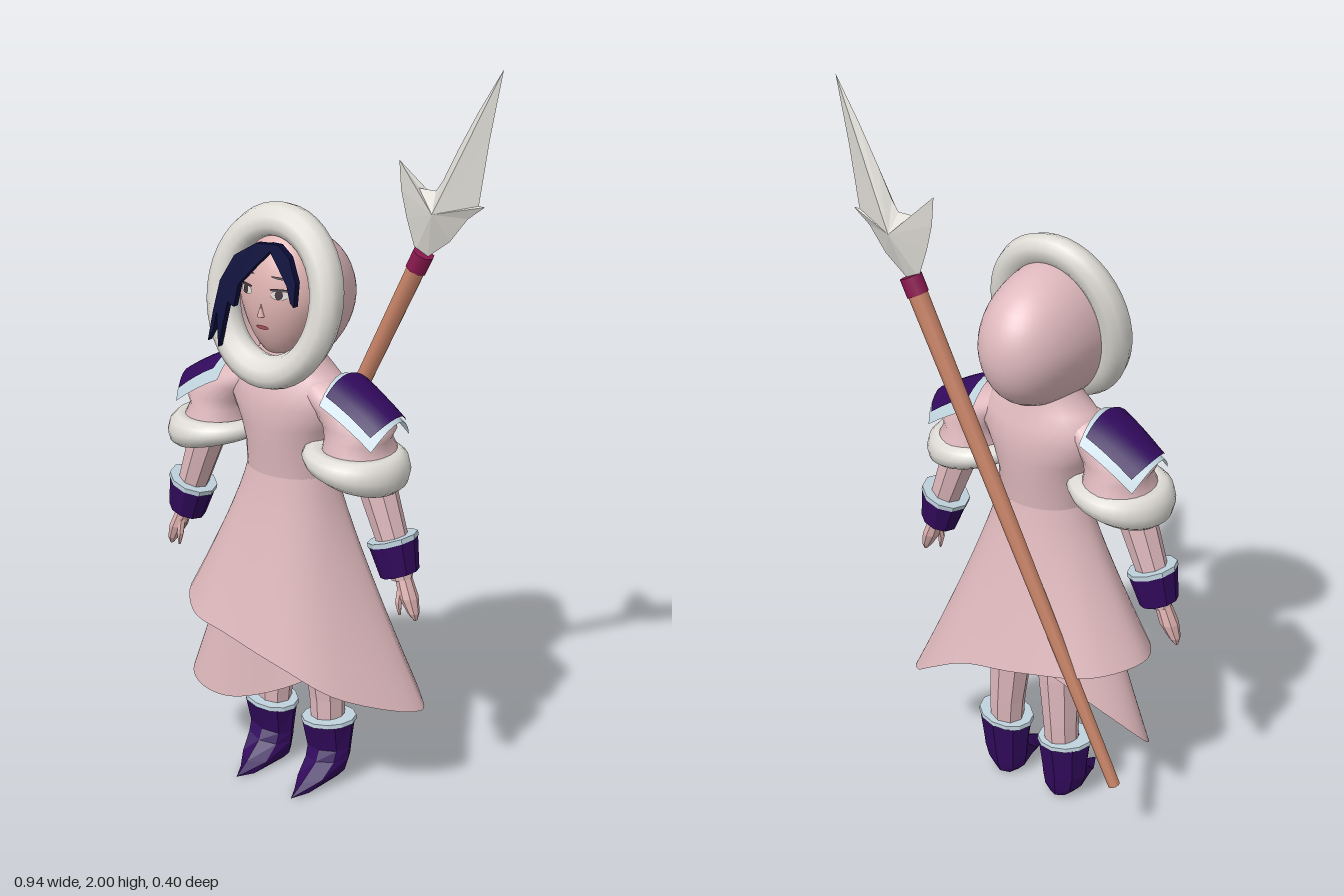
import * as THREE from 'three';

const V = (x, y, z) => new THREE.Vector3(x, y, z);
const mat = (name, color) => {
  const m = new THREE.MeshStandardMaterial({ color, side: THREE.DoubleSide });
  m.name = name;
  return m;
};

// Horizontal oval of n points; front sets a different depth towards +z, tilt slopes it along x.
function oval(cx, y, cz, rx, rz, n = 24, front = rz, tilt = 0) {
  return Array.from({ length: n }, (_, j) => {
    const a = (j / n) * Math.PI * 2, c = Math.cos(a), s = Math.sin(a);
    return V(cx + rx * c, y + tilt * rx * c, cz + (s > 0 ? front : rz) * s);
  });
}

// Skin over closed rings listed from bottom to top.
function loft(rings, { flat = false, loop = false } = {}) {
  const n = rings[0].length, index = [];
  for (let i = 0; i < rings.length - (loop ? 0 : 1); i++) {
    for (let j = 0; j < n; j++) {
      const k = ((i + 1) % rings.length) * n, l = (j + 1) % n;
      index.push(i * n + j, k + j, i * n + l, i * n + l, k + j, k + l);
    }
  }
  let g = new THREE.BufferGeometry().setFromPoints(rings.flat());
  g.setIndex(index);
  if (flat) g = g.toNonIndexed();
  g.computeVertexNormals();
  return g;
}

// Oval padded hoop lying flat: half width w, half height h.
function hoop(rx, rz, w, h, n = 32) {
  const rings = [];
  for (let i = 0; i < 10; i++) {
    const b = (i / 10) * Math.PI * 2;
    rings.push(oval(0, h * Math.sin(b), 0, rx + w * Math.cos(b), rz + w * Math.cos(b), n));
  }
  return loft(rings, { loop: true });
}

function move(g, rule) {
  const p = g.attributes.position, v = V(0, 0, 0);
  for (let i = 0; i < p.count; i++) {
    rule(v.fromBufferAttribute(p, i));
    p.setXYZ(i, v.x, v.y, v.z);
  }
  g.computeVertexNormals();
  return g;
}

// Skirt from an uneven hem up to the oval waist.
function skirt(hem, rx, rz) {
  const curve = new THREE.CatmullRomCurve3(hem.map(p => V(...p)), true, 'centripetal');
  const edge = curve.getPoints(60).slice(0, 60), rings = [];
  for (let i = 0; i <= 10; i++) {
    const t = 1 - i / 10, e = Math.pow(t, 1.15);
    rings.push(edge.map(p => {
      const a = Math.atan2(p.z, p.x + 0.05);
      const wx = -0.05 + rx * Math.cos(a), wz = 0.005 + rz * Math.sin(a);
      return V(wx + (p.x - wx) * e, 0.93 + (p.y - 0.93) * t, wz + (p.z - wz) * e);
    }));
  }
  return loft(rings);
}

// Face surface, narrowing towards the chin.
const faceWidth = y => 0.122 * (y < 1.4 ? 1 - 0.28 * ((1.4 - y) / 0.17) : 1);
const faceZ = (x, y) => 0.03 + 0.1 * Math.sqrt(Math.max(0, 1 - (x / faceWidth(y)) ** 2 - ((y - 1.4) / 0.17) ** 2));
// Depth of the hood's slanted opening.
const rimZ = y => 0.076 - 0.18 * (y - 1.405);

export function createModel() {
  const root = new THREE.Group(), figure = new THREE.Group();
  root.name = 'hoodedSpearBearer';
  figure.name = 'figure';
  figure.position.x = -0.05;
  root.add(figure);
  const cloth = mat('pink cloth', 0xdfb9bd), skin = mat('skin', 0xdfb3b1), fur = mat('white fur', 0xdfdcd6),
    purple = mat('purple leather', 0x320a5d), trim = mat('pale blue trim', 0xc0d3dd), navy = mat('navy hair', 0x0b0d3c),
    wood = mat('wood', 0xc98468), wine = mat('wine binding', 0x8c1850), lip = mat('lips', 0xb5565f), dark = mat('eye dark', 0x43343c);
  const add = (name, g, m, parent = figure) => {
    const mesh = new THREE.Mesh(g, m);
    mesh.name = name;
    parent.add(mesh);
    return mesh;
  };

  // Dress
  add('outerSkirt', skirt([[0.325, 0.275, -0.08], [0.19, 0.35, 0.12], [0.05, 0.43, 0.19], [-0.12, 0.48, 0.2],
    [-0.27, 0.49, 0.16], [-0.375, 0.51, 0.02], [-0.3, 0.5, -0.12], [-0.1, 0.48, -0.195], [0.07, 0.44, -0.195],
    [0.2, 0.36, -0.17], [0.29, 0.29, -0.125]], 0.125, 0.098), cloth, root);
  add('underSkirt', skirt([[0.19, 0.48, 0], [0.13, 0.41, 0.1], [0, 0.32, 0.12], [-0.2, 0.23, 0.11], [-0.32, 0.225, 0.085],
    [-0.388, 0.24, 0.02], [-0.32, 0.35, -0.07], [-0.1, 0.49, -0.14], [0.1, 0.5, -0.11]], 0.118, 0.09), cloth, root);
  add('torso', loft([[0.925, 0.125, 0.098], [1, 0.126, 0.105], [1.06, 0.145, 0.112], [1.12, 0.18, 0.112],
    [1.165, 0.175, 0.1], [1.2, 0.145, 0.088], [1.24, 0.09, 0.08], [1.3, 0.07, 0.07]]
    .map(([y, rx, rz]) => oval(0, y, 0.007, rx, rz))), cloth);

  // Hood: open bowl whose rim reaches forward to the fur
  const hood = new THREE.SphereGeometry(1, 28, 24, Math.PI, Math.PI);
  add('hood', move(hood, v => {
    const reach = 1 + Math.min(0, v.z);
    v.x *= 0.15 * (v.y < 0 ? 1 + 0.1 * v.y : 1);
    v.y = 1.38 + v.y * 0.19;
    v.z = v.z * 0.2 + rimZ(v.y) * reach * reach;
  }), cloth);
  const hoodFur = hoop(0.163, 0.192, 0.043, 0.044, 40).rotateX(Math.PI / 2);
  add('hoodFur', move(hoodFur, v => {
    v.y += 1.405;
    v.z += rimZ(v.y);
  }), fur);

  // Face
  add('face', move(new THREE.SphereGeometry(1, 28, 20), v => {
    const y = 1.4 + v.y * 0.17;
    v.set(v.x * faceWidth(y), y, 0.03 + v.z * (v.z > 0 ? 0.1 : 0.05));
  }), skin);
  const decal = (name, x, y, w, h, m, lift, slant = 0) =>
    add(name, move(new THREE.CircleGeometry(1, 14), v => {
      const px = x + v.x * w, py = y + v.y * h + v.x * slant;
      v.set(px, py, faceZ(px, py) + lift);
    }), m);
  for (const s of [-1, 1]) {
    decal('eyeWhite', s * 0.052, 1.426, 0.023, 0.012, fur, 0.003);
    decal('iris', s * 0.052, 1.427, 0.01, 0.012, dark, 0.005);
    decal('upperLid', s * 0.052, 1.439, 0.025, 0.004, dark, 0.005);
    decal('eyebrow', s * 0.052, 1.468, 0.026, 0.003, dark, 0.004, s * -0.003);
  }
  decal('mouth', 0, 1.335, 0.02, 0.006, lip, 0.004);
  const nose = add('nose', new THREE.ConeGeometry(0.01, 0.035, 8), skin);
  nose.position.set(0, 1.382, 0.13);

  // Hair swept to both sides of a parting
  const hair = (name, points) => {
    const g = new THREE.ExtrudeGeometry(new THREE.Shape(points.map(p => new THREE.Vector2(...p))), { depth: 0.018, bevelEnabled: false });
    add(name, move(g, v => { v.z += 0.105 + (1.55 - v.y) * 0.14; }), navy, root);
  };
  hair('sideFringe', [[0, 1.555], [-0.07, 1.55], [-0.135, 1.51], [-0.175, 1.44], [-0.19, 1.36], [-0.2, 1.28], [-0.185, 1.31],
    [-0.178, 1.36], [-0.165, 1.27], [-0.155, 1.33], [-0.145, 1.39], [-0.125, 1.38], [-0.115, 1.44], [-0.07, 1.49], [-0.02, 1.54]]);
  hair('shortFringe', [[-0.03, 1.555], [-0.02, 1.53], [0, 1.505], [0.035, 1.46], [0.05, 1.42], [0.062, 1.41], [0.062, 1.47], [0.035, 1.53], [0, 1.555]]);

  for (const s of [-1, 1]) {
    // Sleeve, pinched above a fur cuff that is fullest on the outside
    add('sleeve', loft([[0.23, 0.985, 0.11, 0.115], [0.228, 1.025, 0.095, 0.105], [0.222, 1.06, 0.085, 0.092], [0.225, 1.09, 0.1, 0.088],
      [0.19, 1.13, 0.105, 0.08], [0.13, 1.165, 0.1, 0.07], [0.08, 1.195, 0.06, 0.05], [0.06, 1.205, 0.02, 0.02]]
      .map(([x, y, rx, rz]) => oval(s * x, y, 0.015, rx, rz))), cloth);
    const cuff = move(hoop(0.106, 0.102, 0.036, 0.05), v => {
      const out = (s * v.x) / 0.14;
      v.y = v.y * (0.75 + 0.3 * out) + 0.018 * (1 - out);
    });
    add('sleeveFur', cuff, fur).position.set(s * 0.225, 0.978, 0.027);

    // Shoulder pad: arched plate over a deeper, paler one
    const pad = (name, x0, x1, half, drop, m, lower) => {
      const g = new THREE.PlaneGeometry(1, 2, 4, 8);
      add(name, move(g, v => {
        const u = v.x + 0.5, q = v.y, x = x0 + (x1 - x0) * u;
        v.set(s * (x - 0.025 * u * q * q), 1.222 - lower - 0.42 * (x - 0.17) - drop * q * q - 0.02 * u * u, 0.012 + half * q * (1 - 0.12 * u));
      }), m);
    };
    pad('shoulderPad', 0.182, 0.337, 0.09, 0.035, purple, 0);
    pad('shoulderPadTrim', 0.165, 0.343, 0.096, 0.06, trim, 0.009);

    // Arm, bracer and hand
    const tube = (name, list, m, n = 8, tilt = 0) =>
      add(name, loft(list.map(([x, y, z, rx, rz, front]) => oval(s * x, y, z, rx, rz, n, front ?? rz, s * tilt)), { flat: true }), m);
    tube('arm', [[0.365, 0.7, 0.015, 0.028, 0.028], [0.34, 0.78, 0.015, 0.04, 0.04], [0.27, 0.97, 0.015, 0.052, 0.05], [0.22, 1.08, 0.015, 0.05, 0.05]], cloth, 8, 0.3);
    tube('bracer', [[0.357, 0.712, 0.015, 0.03, 0.03], [0.357, 0.712, 0.05, 0.05, 0.05].with(2, 0.015), [0.335, 0.797, 0.015, 0.063, 0.063]], purple, 10, 0.35);
    tube('bracerTrim', [[0.335, 0.795, 0.015, 0.065, 0.065], [0.332, 0.808, 0.015, 0.065, 0.065], [0.332, 0.808, 0.015, 0.035, 0.035]], trim, 10, 0.35);
    tube('hand', [[0.412, 0.595, 0.02, 0.004, 0.006], [0.405, 0.615, 0.02, 0.015, 0.018], [0.388, 0.655, 0.018, 0.025, 0.027], [0.365, 0.715, 0.015, 0.022, 0.022]], skin, 8);
    tube('thumb', [[0.372, 0.605, 0.035, 0.003, 0.004], [0.368, 0.64, 0.035, 0.01, 0.01], [0.37, 0.695, 0.022, 0.012, 0.012]], skin, 6);

    // Leg and pointed boot
    tube('leg', [[0.095, 0.12, -0.035, 0.045, 0.045], [0.09, 0.25, -0.037, 0.05, 0.05], [0.08, 0.4, -0.03, 0.06, 0.06], [0.07, 0.62, -0.015, 0.06, 0.065]], cloth);
    tube('boot', [[0.095, 0.004, -0.03, 0.002, 0.002], [0.095, 0.004, -0.03, 0.035, 0.04, 0.168], [0.097, 0.03, -0.03, 0.058, 0.046, 0.12],
      [0.1, 0.07, -0.03, 0.068, 0.052, 0.06], [0.1, 0.1, -0.03, 0.07, 0.056, 0.045], [0.1, 0.182, -0.03, 0.079, 0.068]], purple, 8, 0.12);
    tube('bootTrim', [[0.1, 0.18, -0.03, 0.081, 0.07], [0.1, 0.192, -0.03, 0.079, 0.069], [0.095, 0.192, -0.035, 0.045, 0.045]], trim, 12, 0.12);
  }

  // Spear carried slantwise across the back
  const spear = new THREE.Group();
  spear.name = 'spear';
  spear.position.set(-0.385, 0.2, -0.145);
  spear.rotation.z = -0.451;
  root.add(spear);
  add('shaft', new THREE.CylinderGeometry(0.026, 0.016, 1.44, 8), wood, spear).position.y = 0.72;
  add('binding', new THREE.CylinderGeometry(0.029, 0.029, 0.05, 8), wine, spear).position.y = 1.44;

  // Barbed blade: a ridged plate fanned from its centre line
  const outline = [[0.228, 1.52], [0.265, 1.51], [0.33, 1.56], [0.38, 1.625], [0.428, 1.662], [0.41, 1.662], [0.435, 1.83], [0.467, 2],
    [0.40, 1.89], [0.345, 1.79], [0.305, 1.71], [0.285, 1.682], [0.235, 1.682], [0.175, 1.745], [0.182, 1.67], [0.2, 1.6]];
  const corners = [];
  outline.forEach((p, i) => {
    const q = outline[(i + 1) % outline.length];
    const a = V(p[0], p[1], -0.145), b = V(q[0], q[1], -0.145);
    corners.push(a, b, V(0.295, 1.63, -0.113), b, a, V(0.295, 1.63, -0.177));
  });
  const blade = new THREE.BufferGeometry().setFromPoints(corners);
  blade.computeVertexNormals();
  add('blade', blade, fur, root);
  return root;
}
